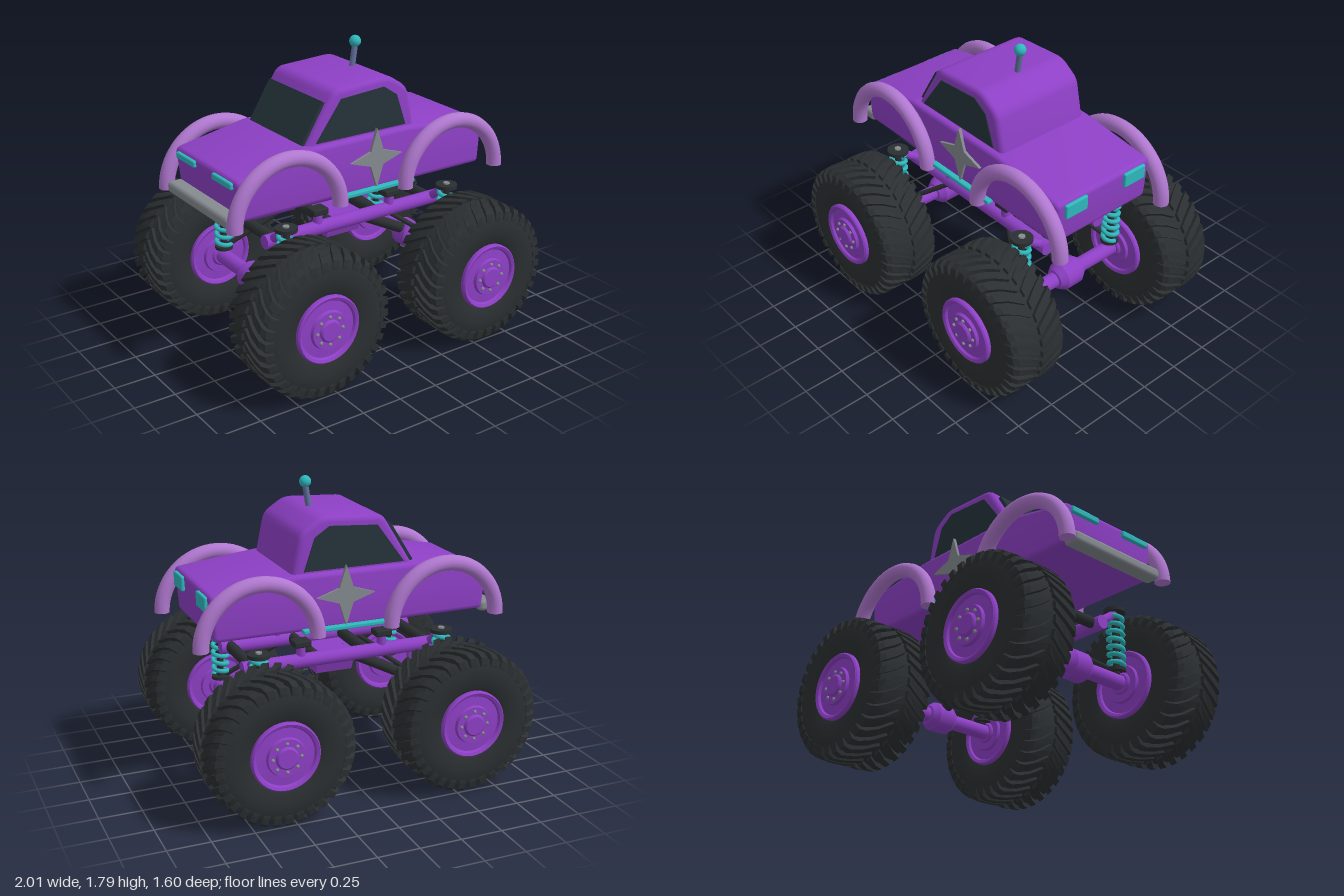
import * as THREE from 'three';
import { mergeGeometries, toCreasedNormals } from 'three/addons/utils/BufferGeometryUtils.js';
import { RoundedBoxGeometry } from 'three/addons/geometries/RoundedBoxGeometry.js';

const mat = (color) => new THREE.MeshStandardMaterial({ color });
const V = (x, y, z) => new THREE.Vector3(x, y, z);
const both = [-1, 1];

export function createModel() {
  const model = new THREE.Group();
  const purple = mat(0x8e40c6), lilac = mat(0xb078d0), teal = mat(0x2fb8bd), black = mat(0x2b2f31);
  const glass = mat(0x25343a), grey = mat(0x858b90), steel = mat(0x62709c);

  const add = (name, geo, material, x = 0, y = 0, z = 0, parent = model) => {
    const m = new THREE.Mesh(geo, material);
    m.name = name;
    m.position.set(x, y, z);
    parent.add(m);
    return m;
  };
  const rod = (name, a, b, r, material) => {
    const d = b.clone().sub(a);
    const m = add(name, new THREE.CylinderGeometry(r, r, d.length(), 16), material);
    m.position.copy(a).add(b).multiplyScalar(0.5);
    m.quaternion.setFromUnitVectors(V(0, 1, 0), d.normalize());
    return m;
  };
  const box = (w, h, d, r) => new RoundedBoxGeometry(w, h, d, 2, r);

  // Polygon with rounded corners
  const roundShape = (pts, r) => {
    const s = new THREE.Shape(), P = pts.map((p) => new THREE.Vector2(...p)), n = P.length;
    P.forEach((p, i) => {
      const toward = (q) => p.clone().add(q.clone().sub(p).setLength(r));
      const a = toward(P[(i + n - 1) % n]), b = toward(P[(i + 1) % n]);
      if (i) s.lineTo(a.x, a.y); else s.moveTo(a.x, a.y);
      s.quadraticCurveTo(p.x, p.y, b.x, b.y);
    });
    s.closePath();
    return s;
  };
  // Side profile extruded across the width with soft edges
  const slab = (pts, halfWidth, corner, bevel) => {
    const g = new THREE.ExtrudeGeometry(roundShape(pts, corner), {
      depth: 2 * (halfWidth - bevel), bevelSize: bevel, bevelThickness: bevel,
      bevelOffset: -bevel, bevelSegments: 3, curveSegments: 5,
    });
    g.translate(0, 0, bevel - halfWidth);
    return toCreasedNormals(g, 0.6);
  };

  // Body and cab
  add('body', slab([[-0.85, 0.97], [0.825, 0.97], [0.845, 1.24], [0.34, 1.3], [-0.41, 1.3], [-0.875, 1.21]], 0.35, 0.03, 0.025), purple);
  add('cab', slab([[-0.455, 1.2], [0.37, 1.2], [0.3, 1.53], [0.17, 1.615], [-0.21, 1.595]], 0.31, 0.045, 0.03), purple);

  // Windows
  const windowShape = new THREE.Shape([[-0.34, 1.31], [0.28, 1.31], [0.215, 1.5], [0.125, 1.56], [-0.17, 1.54]].map((p) => new THREE.Vector2(...p)));
  const windowGeo = new THREE.ExtrudeGeometry(windowShape, { depth: 0.016, bevelEnabled: false });
  windowGeo.translate(0, 0, -0.008);
  for (const s of both) add('sideWindow', windowGeo, glass, 0, 0, s * 0.308);
  const windshield = add('windshield', new THREE.BoxGeometry(0.27, 0.02, 0.55), glass, -0.335, 1.414, 0);
  windshield.rotation.z = Math.atan2(0.395, 0.245);

  // Four-pointed stars and sill strips
  const starShape = new THREE.Shape();
  for (let i = 0; i < 8; i++) {
    const r = i % 2 ? 0.062 : 0.178, a = i * Math.PI / 4;
    starShape[i ? 'lineTo' : 'moveTo'](r * Math.cos(a), r * Math.sin(a));
  }
  const starGeo = new THREE.ExtrudeGeometry(starShape, { depth: 0.02, bevelEnabled: false });
  starGeo.translate(0, 0, -0.01);
  for (const s of both) {
    add('star', starGeo, grey, 0.043, 1.163, s * 0.357);
    add('sillStrip', box(0.52, 0.026, 0.045, 0.008), teal, 0.05, 0.977, s * 0.36);
  }

  // Lights and bumper
  for (const s of both) {
    add('largeLight', box(0.025, 0.09, 0.16, 0.01), teal, 0.85, 1.182, s * 0.22);
    add('slimLight', box(0.03, 0.04, 0.21, 0.01), teal, -0.875, 1.175, s * 0.205);
  }
  add('bumper', box(0.1, 0.07, 0.69, 0.025), grey, -0.89, 0.98, 0);

  // Antenna
  rod('antennaRod', V(0.12, 1.58, 0), V(0.145, 1.74, 0), 0.018, steel);
  add('antennaBall', new THREE.SphereGeometry(0.035, 20, 14), teal, 0.145, 1.755, 0);

  // Arched fenders with closed ends
  const fenderParts = [new THREE.TorusGeometry(0.343, 0.046, 14, 40, Math.PI)];
  for (const s of both) {
    const cap = new THREE.CircleGeometry(0.046, 14);
    cap.rotateX(Math.PI / 2);
    cap.translate(s * 0.343, 0, 0);
    fenderParts.push(cap);
  }
  const fenderGeo = mergeGeometries(fenderParts);

  // Slanted tread lug: cross-sections [z, outer radius, angle shift] swept from the tyre centre outward
  const lugSections = [[0.012, 0.428, 0], [0.09, 0.43, 0.13], [0.155, 0.424, 0.21], [0.183, 0.402, 0.24], [0.189, 0.365, 0.25]];
  const lug = (angle, side) => {
    const list = lugSections.map(([z, r, da]) => [z * side, r, angle + da]);
    if (side < 0) list.reverse();
    const pos = [], idx = [], n = list.length;
    for (const [z, r, a] of list)
      for (const [q, t] of [[0.35, -0.058], [r, -0.05], [r, 0.05], [0.35, 0.058]])
        pos.push(q * Math.cos(a + t), q * Math.sin(a + t), z);
    for (let i = 0; i < n - 1; i++)
      for (let k = 0; k < 4; k++) {
        const a = i * 4 + k, b = i * 4 + (k + 1) % 4;
        idx.push(a, b, b + 4, a, b + 4, a + 4);
      }
    const e = (n - 1) * 4;
    idx.push(0, 2, 1, 0, 3, 2, e, e + 1, e + 2, e, e + 2, e + 3);
    const g = new THREE.BufferGeometry();
    g.setAttribute('position', new THREE.Float32BufferAttribute(pos, 3));
    g.setIndex(idx);
    const flat = g.toNonIndexed();
    flat.computeVertexNormals();
    return flat;
  };
  const lugs = [], lugCount = 34;
  for (let i = 0; i < lugCount; i++)
    for (const s of both) lugs.push(lug((i + (s > 0 ? 0.5 : 0)) * 2 * Math.PI / lugCount, s));
  const treadGeo = mergeGeometries(lugs);

  // Profile mirrored about the middle and turned around the z axis
  const turned = (half, segments) => {
    const pts = [...half, ...half.slice().reverse().map(([r, h]) => [r, -h])];
    const g = new THREE.LatheGeometry(pts.map(([r, h]) => new THREE.Vector2(r, h)), segments);
    g.rotateX(Math.PI / 2);
    return toCreasedNormals(g, 0.6);
  };
  const tyreGeo = turned([[0.195, -0.165], [0.22, -0.178], [0.29, -0.186], [0.355, -0.183], [0.39, -0.165], [0.405, -0.1]], 64);
  const rimGeo = turned([[0, -0.214], [0.055, -0.214], [0.064, -0.206], [0.066, -0.198], [0.108, -0.198], [0.114, -0.18],
    [0.168, -0.176], [0.175, -0.19], [0.192, -0.197], [0.2, -0.188], [0.2, -0.15]], 40);
  const diffGeo = turned([[0.045, -0.1], [0.06, -0.095], [0.088, -0.055], [0.088, -0.04]], 16);
  const boltGeo = new THREE.SphereGeometry(0.011, 8, 6);

  // Coil spring path
  const coil = new THREE.CatmullRomCurve3(Array.from({ length: 85 }, (_, i) => {
    const a = i / 84 * 7 * 2 * Math.PI;
    return V(0.044 * Math.cos(a), i / 84 * 0.34, 0.044 * Math.sin(a));
  }));
  const coilGeo = new THREE.TubeGeometry(coil, 170, 0.014, 7);

  for (const sx of both) {
    const x = sx * 0.573;
    // Axle, differential and drive shaft
    rod('axle', V(x, 0.43, -0.42), V(x, 0.43, 0.42), 0.046, purple);
    add('differential', diffGeo, purple, x, 0.43, 0);
    rod('driveShaft', V(x, 0.45, 0), V(sx * 0.08, 0.705, 0), 0.034, black);
    for (const cx of [0.16, 0.56]) rod('crossBar', V(sx * cx, 0.75, -0.18), V(sx * cx, 0.75, 0.18), 0.034, black);

    for (const sz of both) {
      add('fender', fenderGeo, lilac, x, 0.95, sz * 0.391);

      // Wheel
      const wheel = new THREE.Group();
      wheel.name = 'wheel';
      wheel.position.set(x, 0.43, sz * 0.588);
      model.add(wheel);
      add('tyre', tyreGeo, black, 0, 0, 0, wheel);
      add('tread', treadGeo, black, 0, 0, 0, wheel);
      add('rim', rimGeo, purple, 0, 0, 0, wheel);
      for (let i = 0; i < 8; i++) {
        const a = i * Math.PI / 4;
        add('bolt', boltGeo, grey, 0.083 * Math.cos(a), 0.083 * Math.sin(a), sz * 0.2, wheel);
      }

      // Shock absorber with its tower arm and lower link
      const top = V(x, 0.86, sz * 0.36), foot = V(x, 0.48, sz * 0.355);
      rod('shockRod', foot, top, 0.02, black);
      add('spring', coilGeo, teal, x, 0.51, sz * 0.358);
      add('springSeat', new THREE.CylinderGeometry(0.055, 0.055, 0.02, 20), black, x, 0.5, sz * 0.355);
      add('shockCap', new THREE.CylinderGeometry(0.065, 0.065, 0.022, 24), black, x, 0.873, sz * 0.358);
      add('capBolt', new THREE.CylinderGeometry(0.02, 0.02, 0.012, 8), grey, x, 0.887, sz * 0.358);
      rod('towerArm', V(x, 0.75, sz * 0.2), V(x, 0.855, sz * 0.35), 0.026, purple);
      rod('lowerLink', V(sx * 0.26, 0.72, sz * 0.19), V(x, 0.49, sz * 0.365), 0.015, black);

      // Body mount on the rail
      rod('mountPost', V(sx * 0.258, 0.76, sz * 0.2), V(sx * 0.258, 0.84, sz * 0.2), 0.028, purple);
      add('mountPad', box(0.105, 0.04, 0.09, 0.01), black, sx * 0.258, 0.855, sz * 0.2);
    }
  }

  // Chassis rails
  for (const s of both) rod('chassisRail', V(-0.62, 0.745, s * 0.2), V(0.62, 0.745, s * 0.2), 0.042, purple);

  // Gearbox narrowing toward the bottom
  const gearbox = new THREE.BoxGeometry(0.25, 0.13, 0.26);
  const p = gearbox.attributes.position;
  for (let i = 0; i < p.count; i++)
    if (p.getY(i) < 0) p.setXYZ(i, p.getX(i) * 0.92, p.getY(i), p.getZ(i) * 0.64);
  gearbox.computeVertexNormals();
  add('gearbox', gearbox, purple, 0, 0.668, 0);

  return model;
}
